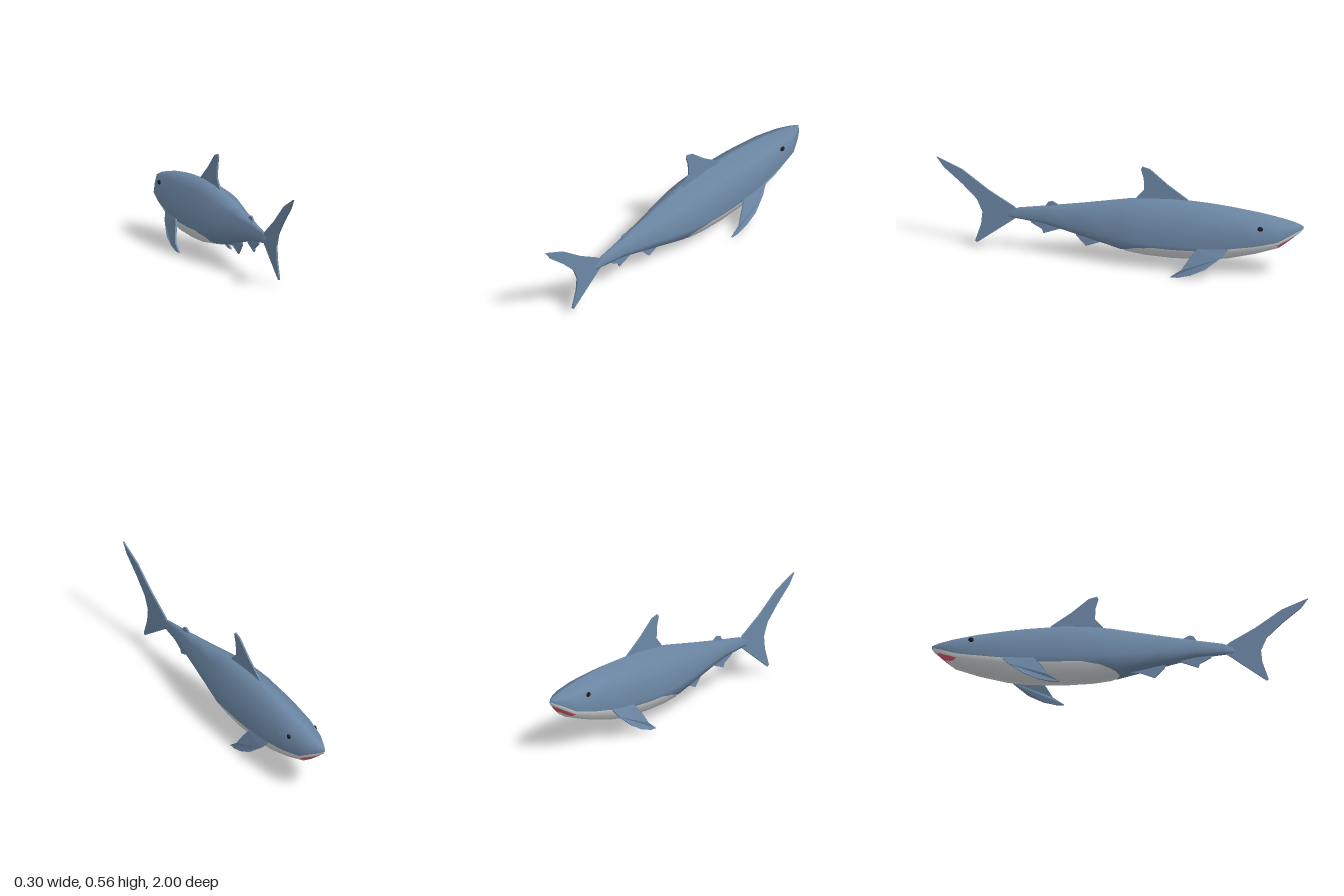
import * as THREE from 'three';

const paint = (name, color, side = THREE.FrontSide) => {
  const m = new THREE.MeshStandardMaterial({ color, side });
  m.name = name;
  return m;
};

// Body stations: z, half width, top, bottom
const STATIONS = [
  [-1, 0.003, 0.302, 0.283], [-0.985, 0.02, 0.308, 0.266], [-0.95, 0.043, 0.318, 0.236],
  [-0.88, 0.076, 0.334, 0.178], [-0.75, 0.1, 0.358, 0.133], [-0.6, 0.112, 0.375, 0.092],
  [-0.5, 0.116, 0.383, 0.076], [-0.3, 0.118, 0.39, 0.065], [-0.15, 0.113, 0.38, 0.068],
  [-0.05, 0.105, 0.367, 0.079], [0.2, 0.062, 0.317, 0.133], [0.4, 0.03, 0.28, 0.177],
  [0.55, 0.015, 0.254, 0.19], [0.6, 0.009, 0.23, 0.193], [0.615, 0.002, 0.213, 0.203],
];
// Colour borders: z, position round the half section (0 = back ridge, 4 = keel)
const BELLY = [[-1, 2], [-0.97, 1.95], [-0.9, 2], [-0.8, 2.1], [-0.6, 2.1], [-0.5, 2.3],
  [-0.2, 2.3], [-0.1, 2.55], [-0.05, 2.85], [-0.02, 3.2], [0, 4]];
const LIP = [[-0.98, 4], [-0.97, 3.4], [-0.95, 2.8], [-0.9, 2.5], [-0.865, 2.45]];
const CHIN = [[-0.93, 4], [-0.9, 3.3], [-0.865, 2.45]];

// Linear lookup in a table sorted by its first column
function look(table, t, col = 1) {
  if (t <= table[0][0]) return table[0][col];
  for (let i = 1; i < table.length; i++) {
    if (t <= table[i][0]) {
      const a = table[i - 1], b = table[i];
      return a[col] + (b[col] - a[col]) * (t - a[0]) / (b[0] - a[0]);
    }
  }
  return table[table.length - 1][col];
}

// Corner k of the eight-sided section at z
function corner(z, k) {
  const i = (k + 8) % 8, side = i > 4 ? -1 : 1, j = i > 4 ? 8 - i : i;
  const w = look(STATIONS, z, 1), top = look(STATIONS, z, 2), bot = look(STATIONS, z, 3);
  return new THREE.Vector3(side * w * [0, 0.75, 1, 0.64, 0][j],
    bot + (top - bot) * [1, 0.85, 0.3, 0.045, 0][j], z);
}

function cornerNormal(z, k) {
  const along = corner(z + 0.04, k).sub(corner(z - 0.04, k));
  along.z = Math.min(z + 0.04, 0.615) - Math.max(z - 0.04, -1);
  return along.cross(corner(z, k + 1).sub(corner(z, k - 1))).normalize();
}

function skinPoint(z, s) {
  const k = Math.min(3, Math.floor(s)), f = s - k;
  return {
    p: corner(z, k).lerp(corner(z, k + 1), f),
    n: cornerNormal(z, k).lerp(cornerNormal(z, k + 1), f).normalize(),
  };
}

// Skin between pairs of borders, on both sides of the body
function skin(bands) {
  const rings = [...new Set([STATIONS, BELLY, LIP, CHIN].flatMap(t => t.map(r => r[0])))]
    .sort((a, b) => a - b);
  const pos = [], nor = [], idx = [];
  for (const [from, to] of bands) {
    for (const side of [1, -1]) {
      const base = pos.length / 3;
      rings.forEach((z, r) => {
        const a = from(z), b = to(z);
        for (let k = 0; k < 5; k++) {
          const { p, n } = skinPoint(z, Math.max(a, Math.min(b, k)));
          pos.push(side * p.x, p.y, p.z);
          nor.push(side * n.x, n.y, n.z);
        }
        if (r === rings.length - 1 || (a >= b && from(rings[r + 1]) >= to(rings[r + 1]))) return;
        for (let k = 0; k < 4; k++) {
          const i = base + r * 5 + k;
          if (side > 0) idx.push(i, i + 5, i + 1, i + 1, i + 5, i + 6);
          else idx.push(i, i + 1, i + 5, i + 1, i + 6, i + 5);
        }
      });
    }
  }
  const g = new THREE.BufferGeometry();
  g.setAttribute('position', new THREE.Float32BufferAttribute(pos, 3));
  g.setAttribute('normal', new THREE.Float32BufferAttribute(nor, 3));
  g.setIndex(idx);
  return g;
}

// Flat fin from a (z, y) outline
function finGeometry(outline, thick) {
  const shape = new THREE.Shape(outline.map(([z, y]) => new THREE.Vector2(z, y)));
  return new THREE.ExtrudeGeometry(shape, { depth: thick, bevelEnabled: false })
    .translate(0, 0, -thick / 2).rotateY(-Math.PI / 2);
}

const FINS = {
  tailFin: [[1, 0.5], [0.86, 0.44], [0.717, 0.337], [0.58, 0.257], [0.54, 0.22], [0.57, 0.19],
    [0.675, 0.11], [0.78, 0.031], [0.79, 0.04], [0.757, 0.14], [0.75, 0.21], [0.78, 0.28],
    [0.86, 0.36], [0.96, 0.445]],
  dorsalFin: [[-0.37, 0.375], [-0.37, 0.39], [-0.26, 0.465], [-0.165, 0.543], [-0.122, 0.555],
    [-0.115, 0.54], [-0.13, 0.49], [-0.133, 0.425], [-0.09, 0.375], [-0.09, 0.35]],
  rearDorsalFin: [[0.3, 0.27], [0.33, 0.287], [0.37, 0.308], [0.393, 0.3], [0.405, 0.28], [0.42, 0.25]],
  pelvicFin: [[0.04, 0.13], [0.06, 0.1], [0.11, 0.1], [0.185, 0.07], [0.2, 0.085], [0.24, 0.128], [0.24, 0.16]],
  analFin: [[0.325, 0.18], [0.325, 0.155], [0.417, 0.12], [0.425, 0.143], [0.485, 0.175], [0.485, 0.2]],
};
const PECTORAL = [[-0.62, 0.185], [-0.615, 0.165], [-0.58, 0.125], [-0.5, 0.06], [-0.42, 0.02],
  [-0.35, 0.001], [-0.31, 0], [-0.37, 0.045], [-0.41, 0.11], [-0.44, 0.15], [-0.47, 0.18]];
// Outward curve of the side fins: y, x
const CURVE = [[0, 0.147], [0.05, 0.146], [0.09, 0.136], [0.155, 0.113], [0.185, 0.1]];

export function createModel() {
  const blue = paint('slate blue skin', 0x6d88a6, THREE.DoubleSide);
  const pale = paint('pale belly', 0xd6d8da, THREE.DoubleSide);
  const pink = paint('mouth pink', 0xd9586c, THREE.DoubleSide);
  const black = paint('eye black', 0x1c1c1e);
  const model = new THREE.Group();
  model.name = 'shark';
  const add = (name, geometry, material) => {
    const mesh = new THREE.Mesh(geometry, material);
    mesh.name = name;
    model.add(mesh);
    return mesh;
  };

  // Body, split along its colour borders
  const back = () => 0, keel = () => 4;
  const belly = z => look(BELLY, z), lip = z => look(LIP, z), chin = z => look(CHIN, z);
  const lipEdge = z => Math.max(lip(z), belly(z)), chinEdge = z => Math.max(chin(z), belly(z));
  add('bodyBack', skin([[back, belly]]), blue);
  add('bodyBelly', skin([[belly, lipEdge], [chinEdge, keel]]), pale);
  add('mouth', skin([[lipEdge, chinEdge]]), pink);

  // Fins on the centre line
  for (const [name, outline] of Object.entries(FINS)) add(name, finGeometry(outline, 0.009), blue);

  // Side fins and eyes
  for (const side of [1, -1]) {
    const label = side > 0 ? 'left' : 'right';
    const g = finGeometry(PECTORAL, 0.009);
    const p = g.attributes.position;
    for (let i = 0; i < p.count; i++) p.setX(i, p.getX(i) + side * look(CURVE, p.getY(i)));
    g.computeVertexNormals();
    add(label + 'PectoralFin', g, blue);

    const eye = add(label + 'Eye', new THREE.SphereGeometry(0.014, 16, 12), black);
    eye.scale.set(0.6, 0.9, 1.05);
    eye.position.set(side * 0.081, 0.295, -0.785);
  }
  return model;
}
